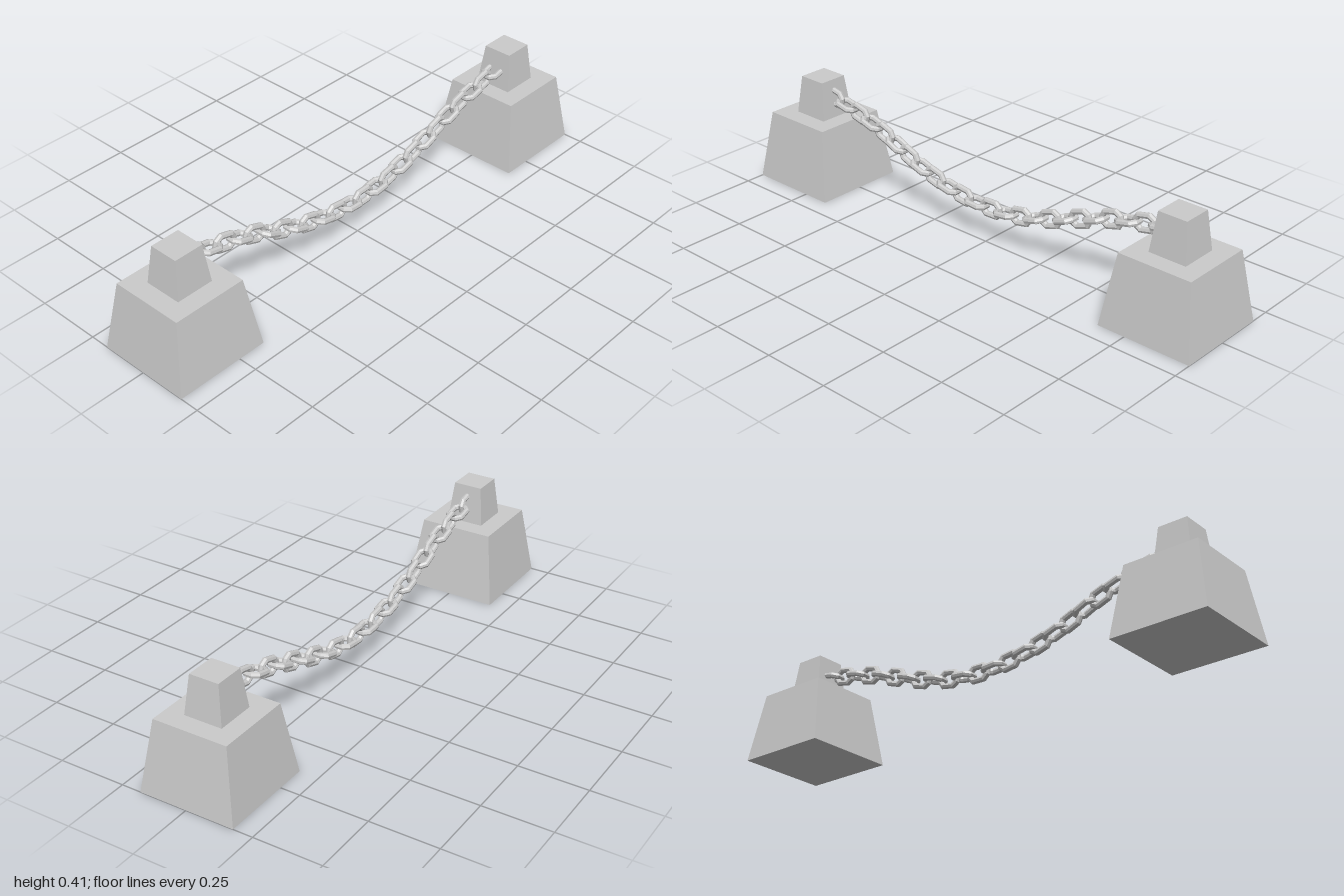
import * as THREE from 'three';

const material = new THREE.MeshStandardMaterial({ color: 0xcccccc, flatShading: true });

// Square block with tapered sides, standing on y = 0
function taperedBlock(name, bottomHalf, topHalf, height) {
  const geometry = new THREE.CylinderGeometry(topHalf * Math.SQRT2, bottomHalf * Math.SQRT2, height, 4);
  geometry.rotateY(Math.PI / 4);
  geometry.translate(0, height / 2, 0);
  const mesh = new THREE.Mesh(geometry, material);
  mesh.name = name;
  return mesh;
}

// Octagonal ring pulled apart along x into an oblong link
function linkGeometry(radius, wire, stretch) {
  const geometry = new THREE.TorusGeometry(radius, wire, 8, 8);
  geometry.rotateZ(Math.PI / 8);
  const p = geometry.attributes.position;
  for (let i = 0; i < p.count; i++) p.setX(i, p.getX(i) + Math.sign(p.getX(i)) * stretch);
  geometry.computeVertexNormals();
  return geometry;
}

export function createModel() {
  const model = new THREE.Group();
  model.name = 'chainBarrier';

  // Two stone posts
  for (const side of [1, -1]) {
    const post = new THREE.Group();
    post.name = side > 0 ? 'leftPost' : 'rightPost';
    const cap = taperedBlock('postTop', 0.071, 0.055, 0.144);
    cap.position.y = 0.263;
    post.add(taperedBlock('postBase', 0.178, 0.139, 0.263), cap);
    post.position.x = side * 0.822;
    model.add(post);
  }

  // Sagging line of the chain
  const sag = new THREE.CatmullRomCurve3([
    [-0.76, 0.338], [-0.625, 0.308], [-0.49, 0.266], [-0.36, 0.212], [-0.23, 0.17], [-0.107, 0.146],
    [0.02, 0.139], [0.15, 0.153], [0.28, 0.187], [0.41, 0.233], [0.545, 0.28], [0.675, 0.312], [0.75, 0.328],
  ].map(([x, y]) => new THREE.Vector3(x, y, 0)));

  // Links alternate between upright and flat
  const chain = new THREE.Group();
  chain.name = 'chain';
  const geometry = linkGeometry(0.0275, 0.0115, 0.012);
  const count = 24;
  for (let i = 0; i < count; i++) {
    const u = i / (count - 1);
    const tangent = sag.getTangentAt(u);
    const link = new THREE.Mesh(geometry, material);
    link.name = 'chainLink';
    link.position.copy(sag.getPointAt(u));
    link.rotation.order = 'ZYX';
    link.rotation.z = Math.atan2(tangent.y, tangent.x);
    link.rotation.x = i % 2 ? Math.PI / 2 : 0;
    chain.add(link);
  }
  model.add(chain);
  return model;
}
